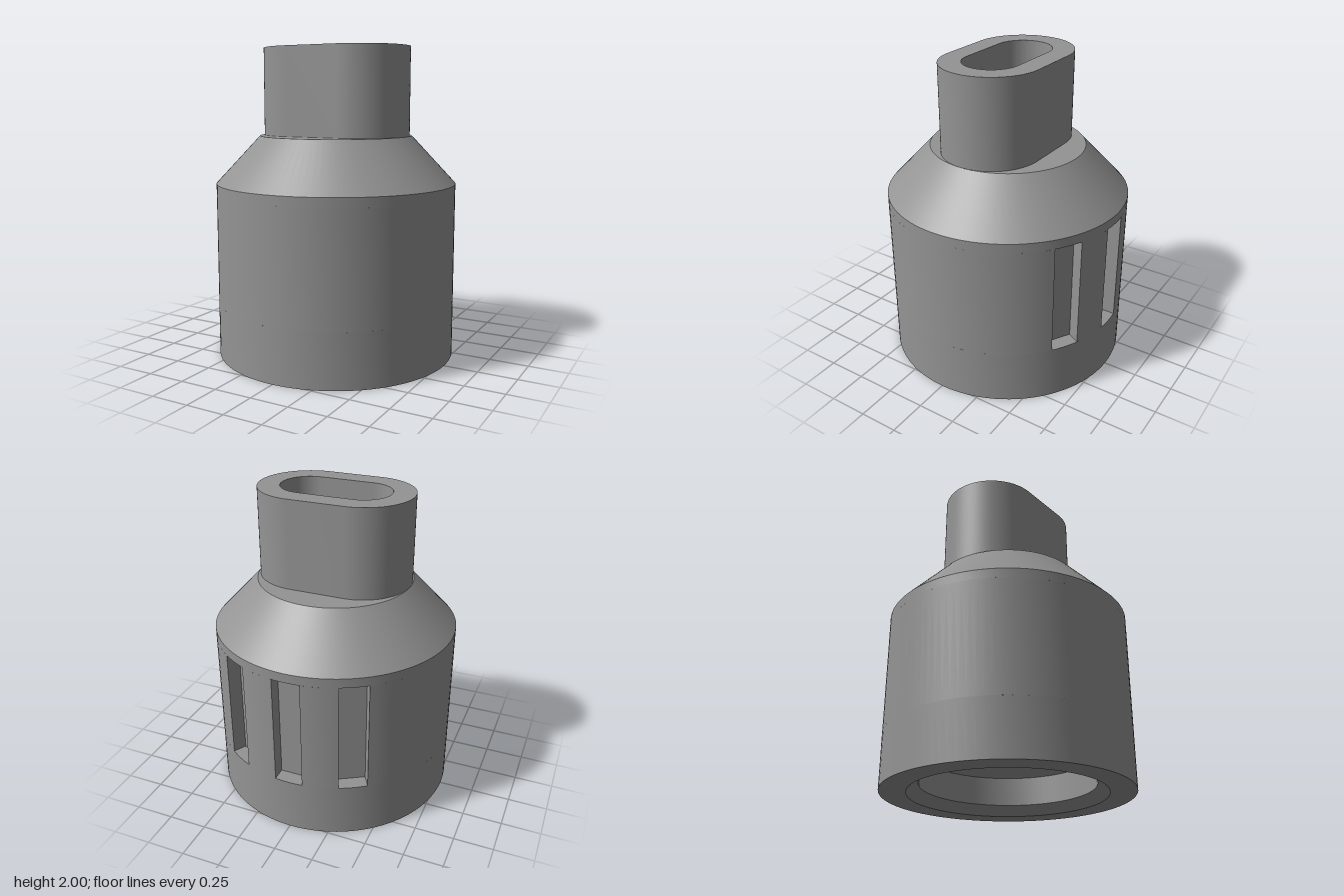
import * as THREE from 'three';
import { toCreasedNormals } from 'three/addons/utils/BufferGeometryUtils.js';

const R = 0.78, SLOT_W = 0.09, SLOT_FLOOR = 0.687, SLOT_Y0 = 0.35, SLOT_Y1 = 1.07;
const SHOULDER_Y = 1.435, NECK_R = 0.495, BORE_R = 0.285;
const HALF = 0.175, SPOUT_R = 0.32, HOLE_R = 0.18; // stadium: half straight length and end radii

export function createModel() {
  const model = new THREE.Group();
  const grey = new THREE.MeshStandardMaterial({ color: 0x949494 });
  grey.name = 'grey';

  const add = (name, geometry, parent = model) => {
    const mesh = new THREE.Mesh(geometry, grey);
    mesh.name = name;
    parent.add(mesh);
    return mesh;
  };
  const revolve = (points, segments = 96, start = 0, length = Math.PI * 2) =>
    toCreasedNormals(new THREE.LatheGeometry(
      points.map(([x, y]) => new THREE.Vector2(x, y)), segments, start, length), 0.4);
  const stadium = (path, r) => {
    path.absarc(HALF, 0, r, -Math.PI / 2, Math.PI / 2, false);
    path.absarc(-HALF, 0, r, Math.PI / 2, Math.PI * 1.5, false);
    path.closePath();
    return path;
  };

  // Stepped bore, chamfered mouth, base ring and lower outer wall
  add('lowerBodyAndBore', revolve([
    [BORE_R, SHOULDER_Y], [BORE_R, 0.485], [0.545, 0.245], [0.545, 0.06],
    [0.617, 0], [R, 0], [R, SLOT_Y0]]));

  // Wall above the slots and the conical shoulder
  add('upperBodyAndCone', revolve([[R, SLOT_Y1], [R, 1.13], [NECK_R, SHOULDER_Y]]));

  // Outer wall panels between the three rear slots
  const slotAngles = [-1, 0, 1].map(k => Math.PI + k * Math.PI / 6);
  const a = Math.asin(SLOT_W / R);
  slotAngles.forEach((angle, i) => {
    const start = angle + a;
    const end = i < 2 ? slotAngles[i + 1] - a : slotAngles[0] + Math.PI * 2 - a;
    add('wallPanel', revolve([[R, SLOT_Y0], [R, SLOT_Y1]], i < 2 ? 8 : 80, start, end - start));
  });

  // Blind slots: floor, two side walls, sill and lintel
  const lip = Math.sqrt(R * R - SLOT_W * SLOT_W);
  const height = SLOT_Y1 - SLOT_Y0, midY = (SLOT_Y0 + SLOT_Y1) / 2;
  const section = new THREE.Shape();
  section.moveTo(-SLOT_W, SLOT_FLOOR);
  section.lineTo(SLOT_W, SLOT_FLOOR);
  section.lineTo(SLOT_W, lip);
  section.absarc(0, 0, R, Math.PI / 2 - a, Math.PI / 2 + a, false);
  for (const angle of slotAngles) {
    const slot = new THREE.Group();
    slot.name = 'slot';
    slot.rotation.y = angle;
    model.add(slot);
    add('slotFloor', new THREE.PlaneGeometry(2 * SLOT_W, height).translate(0, midY, SLOT_FLOOR), slot);
    for (const s of [-1, 1]) {
      add('slotSide', new THREE.PlaneGeometry(lip - SLOT_FLOOR, height)
        .rotateY(-s * Math.PI / 2).translate(s * SLOT_W, midY, (lip + SLOT_FLOOR) / 2), slot);
    }
    add('slotSill', new THREE.ShapeGeometry(section)
      .rotateX(-Math.PI / 2).rotateY(Math.PI).translate(0, SLOT_Y0, 0), slot);
    add('slotLintel', new THREE.ShapeGeometry(section)
      .rotateX(Math.PI / 2).translate(0, SLOT_Y1, 0), slot);
  }

  // Flat crescents on the shoulder beside the spout
  const crescent = new THREE.Shape();
  crescent.absarc(0, 0, NECK_R, 0, Math.PI, false);
  crescent.absarc(-HALF, 0, SPOUT_R, Math.PI, Math.PI / 2, true);
  crescent.absarc(HALF, 0, SPOUT_R, Math.PI / 2, 0, true);

  // Small ledges where the oval hole is longer than the round bore
  const ix = (BORE_R ** 2 - HOLE_R ** 2 + HALF ** 2) / (2 * HALF);
  const iz = Math.sqrt(BORE_R ** 2 - ix * ix);
  const boreAngle = Math.atan2(iz, ix), holeAngle = Math.atan2(iz, ix - HALF);
  const ledge = new THREE.Shape();
  ledge.absarc(HALF, 0, HOLE_R, -holeAngle, holeAngle, false);
  ledge.absarc(0, 0, BORE_R, boreAngle, -boreAngle, true);

  for (const turn of [0, Math.PI]) {
    for (const [name, shape] of [['shoulderCrescent', crescent], ['boreLedge', ledge]]) {
      add(name, new THREE.ShapeGeometry(shape, 40)
        .rotateX(-Math.PI / 2).rotateY(turn).translate(0, SHOULDER_Y, 0));
    }
  }

  // Oval spout with an oval hole
  const outline = stadium(new THREE.Shape(), SPOUT_R);
  outline.holes.push(stadium(new THREE.Path(), HOLE_R));
  const spout = new THREE.ExtrudeGeometry(outline, {
    depth: 2 - SHOULDER_Y, bevelEnabled: false, curveSegments: 32 });
  add('spout', toCreasedNormals(spout.rotateX(-Math.PI / 2).translate(0, SHOULDER_Y, 0), 0.4));

  return model;
}
